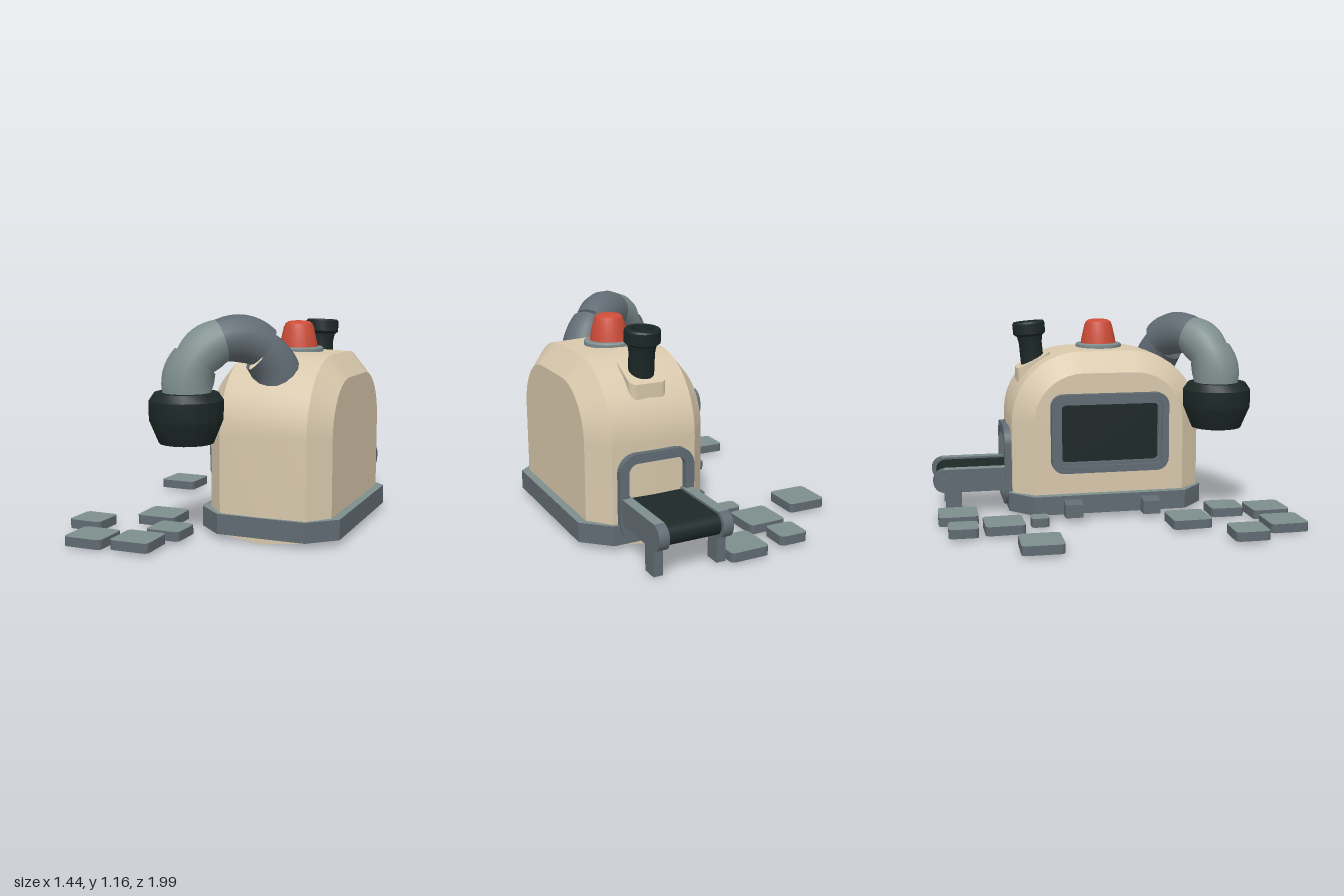
import * as THREE from 'three';
import { toCreasedNormals } from 'three/addons/utils/BufferGeometryUtils.js';

const mat = (name, color, side = THREE.FrontSide) => {
  const m = new THREE.MeshStandardMaterial({ color, side });
  m.name = name;
  return m;
};

export function createModel() {
  const model = new THREE.Group();
  model.name = 'factoryMachine';
  const beige = mat('beigeShell', 0xd8c8ac, THREE.DoubleSide);
  const slate = mat('slateMetal', 0x616b73, THREE.DoubleSide);
  const teal = mat('tealGrey', 0x7d8e8d, THREE.DoubleSide);
  const dark = mat('darkRubber', 0x1c2827);
  const red = mat('redLamp', 0xcc4c38);

  const add = (name, geo, material, x = 0, y = 0, z = 0, parent = model) => {
    const mesh = new THREE.Mesh(geo, material);
    mesh.name = name;
    mesh.position.set(x, y, z);
    parent.add(mesh);
    return mesh;
  };
  const roundRect = (w, h, r, S = THREE.Shape) => {
    const s = new S(), a = w / 2 - r, b = h / 2 - r;
    s.absarc(a, b, r, 0, Math.PI / 2);
    s.absarc(-a, b, r, Math.PI / 2, Math.PI);
    s.absarc(-a, -b, r, Math.PI, Math.PI * 1.5);
    s.absarc(a, -b, r, Math.PI * 1.5, Math.PI * 2);
    s.closePath();
    return s;
  };
  const extrude = (shape, depth) =>
    new THREE.ExtrudeGeometry(shape, { depth, bevelEnabled: false, curveSegments: 6 });
  const frame = (w, h, r, t, depth) => {
    const s = roundRect(w, h, r);
    s.holes.push(roundRect(w - 2 * t, h - 2 * t, Math.max(r - t, 0.02), THREE.Path));
    return extrude(s, depth);
  };
  const lathe = (pts, seg = 20) => toCreasedNormals(
    new THREE.LatheGeometry(pts.map(p => new THREE.Vector2(...p)), seg), 0.5);

  // Shell: arch cross-sections joined along x, open underneath
  const arch = (r, y0) => {
    const pts = [[0.15 + r, y0]];
    for (let i = 0; i <= 10; i++) {
      const a = i / 10 * Math.PI / 2;
      pts.push([0.15 + r * Math.cos(a), 0.55 + r * Math.sin(a)]);
    }
    return pts.concat(pts.map(([z, y]) => [-z, y]).reverse());
  };
  const strip = stations => {
    const pos = [], idx = [];
    stations.forEach(([x, r, y0]) => arch(r, y0).forEach(([z, y]) => pos.push(x, y, z)));
    const n = pos.length / 3 / stations.length;
    for (let s = 0; s < stations.length - 1; s++) {
      for (let i = 0; i < n - 1; i++) {
        const a = s * n + i, b = a + n;
        idx.push(a, b, a + 1, b, b + 1, a + 1);
      }
    }
    const g = new THREE.BufferGeometry();
    g.setAttribute('position', new THREE.Float32BufferAttribute(pos, 3));
    g.setIndex(idx);
    g.computeVertexNormals();
    return g;
  };
  add('shellBand', strip([[0.1, 0.4, 0.03], [0.335, 0.41, 0.003], [0.57, 0.4, 0.03]]), beige);
  add('shellLeftChamfer', strip([[0.57, 0.4, 0.03], [0.67, 0.285, 0.04]]), beige);
  add('shellRightChamfer', strip([[0, 0.285, 0.04], [0.1, 0.4, 0.03]]), beige);
  const wall = () => new THREE.ShapeGeometry(
    new THREE.Shape(arch(0.285, 0.04).map(p => new THREE.Vector2(...p))));
  add('shellLeftWall', wall().rotateY(Math.PI / 2), beige, 0.67);
  add('shellRightWall', wall().rotateY(-Math.PI / 2), beige, 0);

  // Base ring: octagon with an opening
  const octagon = (d, S) => new S([[1, 1], [1, -1], [-1, -1], [-1, 1]].flatMap(([sx, sz], i) => {
    const p = new THREE.Vector2(sx * (0.382 - d), sz * (0.44 - d * 0.5));
    const q = new THREE.Vector2(sx * (0.24 - d * 0.5), sz * (0.572 - d));
    return i % 2 ? [p, q] : [q, p];
  }));
  const ringShape = octagon(0, THREE.Shape);
  ringShape.holes.push(octagon(0.06, THREE.Path));
  add('baseRing', extrude(ringShape, 0.107).rotateX(-Math.PI / 2), [teal, slate], 0.333, 0.035, 0);

  // Brackets along the base
  for (const z of [-0.225, 0.225]) {
    const s = new THREE.Shape([[-0.12, 0.03], [-0.03, 0.03], [-0.03, 0.125], [-0.12, 0.105]]
      .map(p => new THREE.Vector2(...p)));
    add('baseBracket', extrude(s, 0.1), slate, 0, 0, z - 0.05);
  }

  // Side window
  add('windowFrame', frame(0.68, 0.45, 0.07, 0.04, 0.055).rotateY(-Math.PI / 2), slate, 0.005, 0.495, 0);
  add('windowInnerFrame', frame(0.61, 0.38, 0.05, 0.025, 0.04).rotateY(-Math.PI / 2), slate, 0.005, 0.495, 0);
  add('windowPane', extrude(roundRect(0.6, 0.37, 0.04), 0.03).rotateY(-Math.PI / 2), dark, 0.02, 0.495, 0);

  // Rear hatch frame
  add('hatchFrame', frame(0.42, 0.465, 0.1, 0.05, 0.06), slate, 0.333, 0.28, -0.59);

  // Conveyor
  const slab = (end, r) => {
    const s = new THREE.Shape();
    s.absarc(end - r, 0.217, r, -Math.PI / 2, Math.PI / 2);
    s.lineTo(0.45, 0.217 + r);
    s.lineTo(0.45, 0.217 - r);
    s.closePath();
    return s;
  };
  add('conveyorBelt', toCreasedNormals(extrude(slab(0.975, 0.055), 0.3).rotateY(Math.PI / 2), 0.6), dark, 0.183);
  for (const x of [0.13, 0.478]) {
    add('conveyorRail', toCreasedNormals(extrude(slab(1, 0.067), 0.055).rotateY(Math.PI / 2), 0.6), slate, x);
    add('conveyorRailTop', new THREE.BoxGeometry(0.055, 0.003, 0.37), teal, x + 0.0275, 0.2845, -0.755);
    add('conveyorLeg', new THREE.BoxGeometry(0.05, 0.16, 0.09), slate, x + 0.0275, 0.09, -0.885);
  }
  add('conveyorBolt', new THREE.CylinderGeometry(0.025, 0.025, 0.03, 12).rotateZ(Math.PI / 2),
    slate, 0.125, 0.217, -0.93);

  // Warning lamp
  add('lampFlange', lathe([[0, 0.93], [0.137, 0.93], [0.137, 0.973], [0.13, 0.98], [0, 0.98]], 24), teal, 0.333);
  add('lamp', lathe([[0.106, 0.975], [0.1, 1.01], [0.083, 1.085], [0.074, 1.106], [0.058, 1.117],
    [0.035, 1.121], [0, 1.122]], 24), red, 0.333);

  // Chimney mount with a sloping top
  const mount = extrude(roundRect(0.205, 0.19, 0.035), 0.16).rotateX(-Math.PI / 2);
  const mp = mount.attributes.position;
  for (let i = 0; i < mp.count; i++) mp.setY(i, mp.getY(i) + mp.getZ(i) * 0.5);
  mount.computeVertexNormals();
  add('chimneyMount', mount, beige, 0.333, 0.73, -0.4);

  // Chimney
  add('chimney', lathe([[0.068, 0], [0.068, 0.15], [0.075, 0.19], [0.095, 0.205], [0.095, 0.265],
    [0.088, 0.275], [0.06, 0.275], [0.055, 0.2], [0, 0.2]]), dark, 0.333, 0.838, -0.395).rotation.x = -0.09;

  // Bent hose made of four bulging segments
  const hose = new THREE.Group();
  hose.name = 'hose';
  hose.position.set(0.15, 0.79, 0.46);
  hose.rotation.y = 0.66;
  model.add(hose);
  const R = 0.255, joints = [0, 0.95, 1.87, 2.55, 3.25], tubes = [0.116, 0.112, 0.112, 0.124];
  tubes.forEach((tube, k) => {
    const arc = joints[k + 1] - joints[k];
    const g = new THREE.TorusGeometry(R, tube, 16, 8, arc);
    const p = g.attributes.position;
    for (let i = 0; i < p.count; i++) {
      const u = Math.atan2(p.getY(i), p.getX(i));
      const f = 1 + 0.1 * Math.sin(Math.PI * u / arc);
      const cx = R * Math.cos(u), cy = R * Math.sin(u);
      p.setXYZ(i, cx + (p.getX(i) - cx) * f, cy + (p.getY(i) - cy) * f, p.getZ(i) * f);
    }
    const segment = add('hoseSegment', g, k < 2 ? slate : teal, 0, 0, 0, hose);
    segment.rotation.z = joints[k];
    // The root segment sits a little lower and further forward
    if (k === 0) segment.position.set(-0.024, -0.02, 0.031);
  });

  // Nozzle with a recessed mouth
  add('nozzle', lathe([[0, 0.62], [0.13, 0.62], [0.12, 0.515], [0.142, 0.515], [0.192, 0.635],
    [0.192, 0.735], [0.165, 0.775], [0, 0.775]], 18), dark, -0.053, 0, 0.62);

  // Loose floor slabs: x, z, size, bottom height
  [[-0.28, -0.855, 0.16, 0.02], [0.014, -0.87, 0.22, 0.015], [-0.243, -0.635, 0.215, 0.022],
    [-0.608, -0.48, 0.222, 0.02], [-0.185, -0.432, 0.1, 0.02], [-0.315, 0.38, 0.22, 0.018],
    [-0.615, 0.625, 0.19, 0.02], [-0.462, 0.885, 0.215, 0.01], [-0.203, 0.877, 0.214, 0.018],
    [-0.14, 0.645, 0.19, 0.02]].forEach(([x, z, s, y], i) => {
    add('floorSlab', extrude(roundRect(s, s, 0.025), 0.05).rotateX(-Math.PI / 2), [teal, slate], x, y, z)
      .rotation.y = 0.02 * (i % 3 - 1);
  });
  return model;
}
